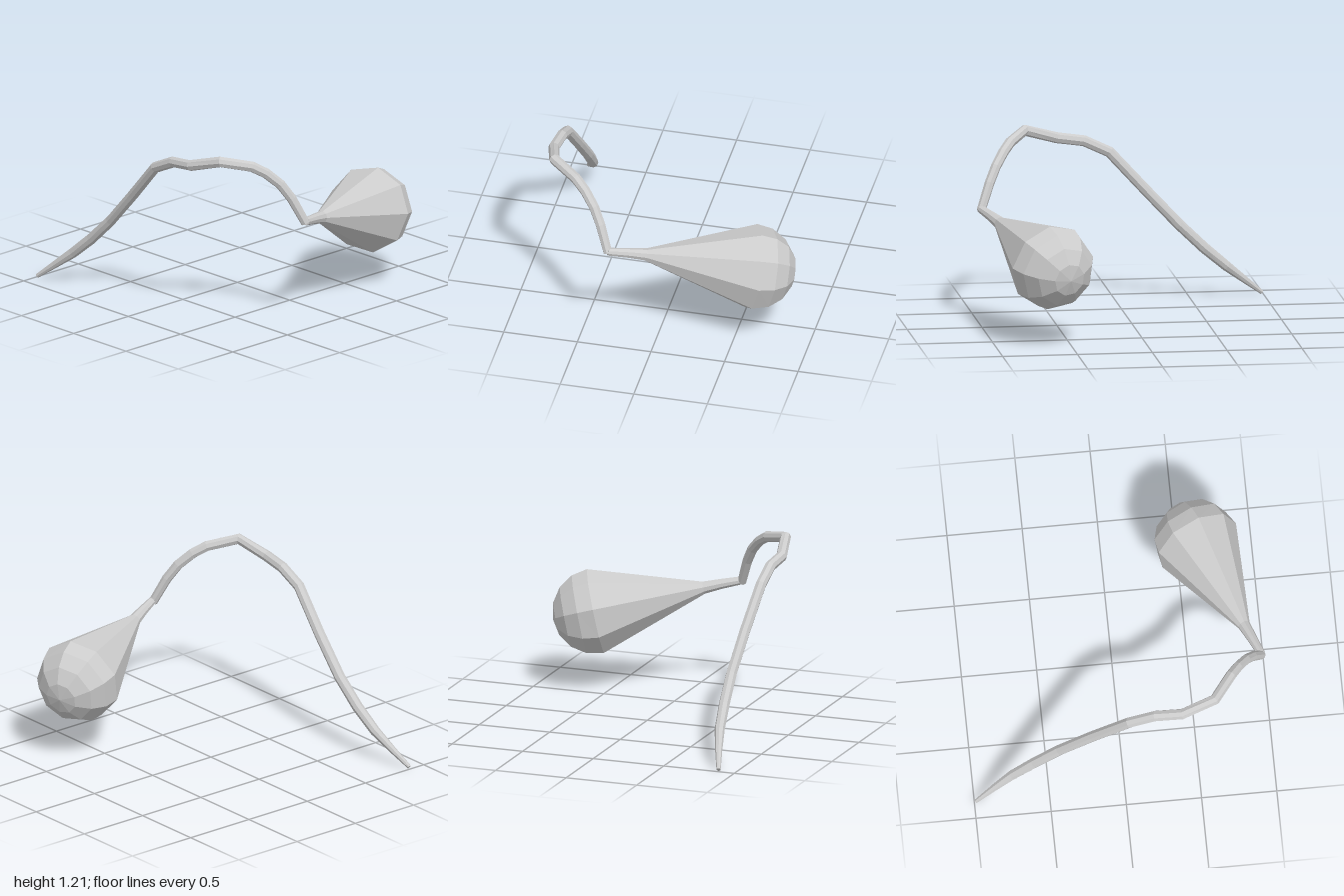
import * as THREE from 'three';

const material = new THREE.MeshStandardMaterial({ color: 0xcccccc, flatShading: true });

// Skin rings of [x, y, z, radius] with a faceted closed tube
function sweep(name, rings, sides, phase = 0) {
  const centres = rings.map(([x, y, z]) => new THREE.Vector3(x, y, z));
  const up = new THREE.Vector3(0, 1, 0);
  const positions = [];
  const index = [];
  const last = rings.length - 1;
  rings.forEach(([, , , radius], i) => {
    const tangent = new THREE.Vector3();
    if (i > 0) tangent.add(centres[i].clone().sub(centres[i - 1]).normalize());
    if (i < last) tangent.add(centres[i + 1].clone().sub(centres[i]).normalize());
    tangent.normalize();
    const n = up.clone().cross(tangent).normalize();
    const b = tangent.clone().cross(n);
    for (let s = 0; s < sides; s++) {
      const a = phase + (s / sides) * Math.PI * 2;
      const p = centres[i].clone()
        .addScaledVector(n, Math.cos(a) * radius)
        .addScaledVector(b, Math.sin(a) * radius);
      positions.push(p.x, p.y, p.z);
    }
  });
  for (let i = 0; i < last; i++) {
    for (let s = 0; s < sides; s++) {
      const t = (s + 1) % sides;
      const a = i * sides + s, b = i * sides + t;
      index.push(a, b, b + sides, a, b + sides, a + sides);
    }
  }
  // End caps
  const start = positions.length / 3;
  positions.push(...centres[0].toArray(), ...centres[last].toArray());
  for (let s = 0; s < sides; s++) {
    const t = (s + 1) % sides;
    index.push(start, t, s);
    index.push(start + 1, last * sides + s, last * sides + t);
  }
  const geometry = new THREE.BufferGeometry();
  geometry.setAttribute('position', new THREE.Float32BufferAttribute(positions, 3));
  geometry.setIndex(index);
  geometry.computeVertexNormals();
  const mesh = new THREE.Mesh(geometry, material);
  mesh.name = name;
  return mesh;
}

export function createModel() {
  const group = new THREE.Group();
  group.name = 'droopingStalk';

  // Long stalk, tapering to a thin tip on the ground
  group.add(sweep('stalk', [
    [-0.99, 0.013, 0.885, 0.014],
    [-0.87, 0.11, 0.84, 0.024],
    [-0.74, 0.215, 0.797, 0.034],
    [-0.59, 0.345, 0.772, 0.037],
    [-0.42, 0.51, 0.758, 0.037],
    [-0.20, 0.745, 0.768, 0.037],
    [0.04, 1.005, 0.79, 0.037],
    [0.21, 1.085, 0.79, 0.037],
    [0.39, 1.108, 0.802, 0.037],
    [0.613, 1.175, 0.745, 0.037],
    [0.735, 1.13, 0.57, 0.036],
    [0.79, 1.08, 0.495, 0.035],
    [0.85, 1.00, 0.42, 0.034],
    [0.90, 0.90, 0.365, 0.033],
    [0.965, 0.73, 0.30, 0.03],
  ], 8));

  // Hanging bulb: slim neck, long cone, then a rounded end
  const centre = new THREE.Vector3(0.625, 0.525, -0.605);
  const axis = new THREE.Vector3(-0.354, -0.194, -0.917).normalize();
  const bulb = [
    [0.967, 0.74, 0.30, 0.027],
    [0.915, 0.715, 0.17, 0.034],
    [0.872, 0.69, 0.065, 0.042],
  ];
  for (let i = 0; i < 5; i++) {
    const a = (i / 4) * Math.PI / 2;
    const p = centre.clone().addScaledVector(axis, 0.288 * Math.sin(a));
    bulb.push([p.x, p.y, p.z, 0.288 * Math.cos(a)]);
  }
  group.add(sweep('bulb', bulb, 9, THREE.MathUtils.degToRad(18)));

  return group;
}
